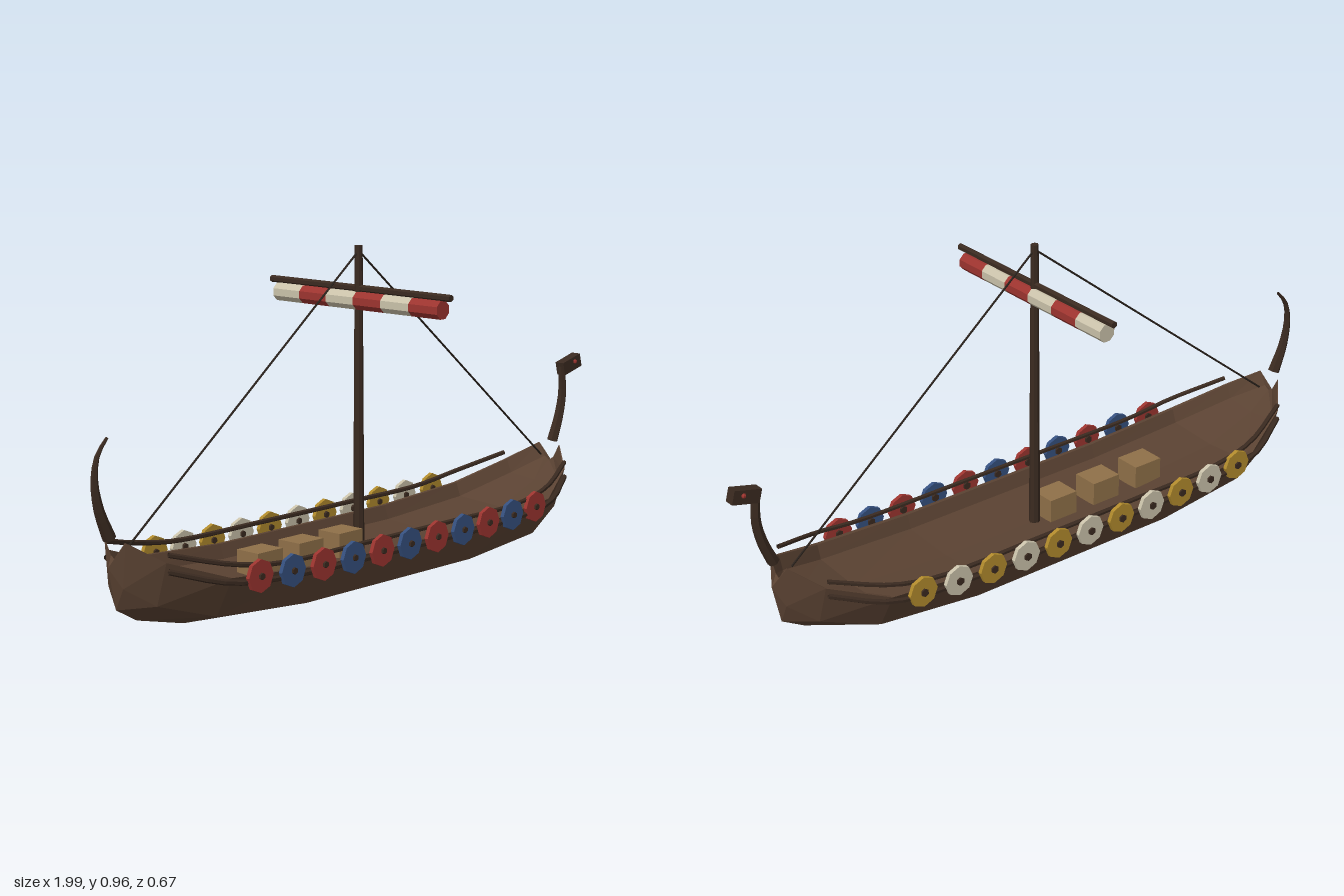
import * as THREE from 'three';

const C = {
  hull: 0x5a4232, dark: 0x3a2a20, red: 0x9c342f, blue: 0x35507f,
  gold: 0xb08a2c, cream: 0xcac2aa, crate: 0x8f7048, rope: 0x2a221c,
};
const mats = {};
const mat = (name) => (mats[name] ??= new THREE.MeshStandardMaterial({
  color: C[name], flatShading: true, side: THREE.DoubleSide,
}));
const HULL_X = -0.03; // hull midpoint along x

function add(parent, name, geometry, color, x = 0, y = 0, z = 0) {
  const mesh = new THREE.Mesh(geometry, mat(color));
  mesh.name = name;
  mesh.position.set(x, y, z);
  parent.add(mesh);
  return mesh;
}

// Closed hull lofted through cross-sections, deck included
function hullGeometry() {
  // [x, keelY, chineZ, chineY, gunwaleZ, gunwaleY, floor width ratio]
  const half = [
    [0.34, 0, 0.145, 0.04, 0.195, 0.15, 0.87],
    [0.655, 0.02, 0.125, 0.06, 0.183, 0.172, 0.86],
    [0.82, 0.06, 0.078, 0.11, 0.115, 0.23, 0.8],
    [0.89, 0.1, 0.028, 0.16, 0.04, 0.282, 0.4],
  ];
  const ring = ([x, ky, cz, cy, gz, gy, f]) => {
    const side = [[cy, cz], [gy, gz], [gy, gz * 0.94], [gy - 0.04, gz * f]];
    return [[ky, 0], ...side, [gy - 0.05, 0], ...side.map(([y, z]) => [y, -z]).reverse()]
      .map(([y, z]) => [x + HULL_X, y, z]);
  };
  const apex = (x) => Array(10).fill([x + HULL_X, 0.215, 0]);
  const rings = [
    apex(-0.915),
    ...[...half].reverse().map(([x, ...rest]) => ring([-x, ...rest])),
    ...half.map(ring),
    apex(0.915),
  ];
  const pos = [];
  for (let i = 0; i < rings.length - 1; i++) {
    for (let j = 0; j < 10; j++) {
      const k = (j + 1) % 10;
      const [a, b, c, d] = [rings[i][j], rings[i + 1][j], rings[i + 1][k], rings[i][k]];
      if (b !== c) pos.push(...a, ...b, ...c);
      if (a !== d) pos.push(...a, ...c, ...d);
    }
  }
  const g = new THREE.BufferGeometry();
  g.setAttribute('position', new THREE.Float32BufferAttribute(pos, 3));
  g.computeVertexNormals();
  return g;
}

// Tube along points whose radius runs from r0 to r1
function taperedTube(points, r0, r1, segments = 10, sides = 6) {
  const curve = new THREE.CatmullRomCurve3(points.map((p) => new THREE.Vector3(...p)));
  const g = new THREE.TubeGeometry(curve, segments, 1, sides);
  const p = g.attributes.position;
  const v = new THREE.Vector3();
  for (let i = 0; i < p.count; i++) {
    const t = Math.floor(i / (sides + 1)) / segments;
    const c = curve.getPointAt(t);
    v.fromBufferAttribute(p, i).sub(c).multiplyScalar(r0 + (r1 - r0) * t).add(c);
    p.setXYZ(i, v.x, v.y, v.z);
  }
  g.computeVertexNormals();
  return g;
}

function shield(color) {
  const group = new THREE.Group();
  group.name = 'shield';
  const disc = new THREE.CylinderGeometry(0.045, 0.045, 0.012, 8).rotateX(Math.PI / 2);
  const boss = new THREE.CylinderGeometry(0.009, 0.012, 0.024, 6).rotateX(Math.PI / 2);
  add(group, 'shieldBoard', disc, color);
  add(group, 'shieldBoss', boss, 'dark');
  return group;
}

export function createModel() {
  const ship = new THREE.Group();
  ship.name = 'longship';
  add(ship, 'hull', hullGeometry(), 'hull');

  // Rails and shields on both sides
  for (const s of [1, -1]) {
    const rail = (name, pts, r) => {
      const full = [...pts.map(([x, y, z]) => [-x, y, z]).reverse(), ...pts]
        .map(([x, y, z]) => [x + HULL_X, y, z * s]);
      add(ship, name, taperedTube(full, r, r, 32), 'dark');
    };
    rail('upperRail', [[0.17, 0.182, 0.194], [0.5, 0.185, 0.192], [0.65, 0.207, 0.178], [0.815, 0.25, 0.117]], 0.007);
    rail('lowerRail', [[0.17, 0.138, 0.196], [0.34, 0.139, 0.196], [0.655, 0.16, 0.184], [0.815, 0.206, 0.118]], 0.008);

    const colors = s > 0 ? ['red', 'blue'] : ['gold', 'cream'];
    for (let i = 0; i < 11; i++) {
      const u = Math.abs(i - 5) / 5;
      const sh = shield(colors[i % 2]);
      sh.position.set(-0.602 + i * 0.114, 0.156 + 0.01 * u ** 3, s * (0.214 - 0.014 * u ** 3));
      ship.add(sh);
    }
  }

  // Mast, yard and furled striped sail
  add(ship, 'mast', new THREE.CylinderGeometry(0.011, 0.016, 0.86, 8), 'dark', -0.005, 0.53, 0);
  add(ship, 'yard', new THREE.CylinderGeometry(0.01, 0.01, 0.67, 6).rotateX(Math.PI / 2), 'dark', -0.005, 0.841, 0);
  for (let i = 0; i < 6; i++) {
    const roll = new THREE.CylinderGeometry(0.027, 0.027, 0.102, 8).rotateY(Math.PI / 8).rotateX(Math.PI / 2);
    add(ship, 'furledSail', roll, i % 2 ? 'cream' : 'red', -0.005, 0.807, 0.255 - i * 0.102);
  }

  // Stays from the masthead to both ends
  for (const x of [-0.88, 0.82]) {
    const stay = new THREE.LineCurve3(new THREE.Vector3(-0.005, 0.945, 0), new THREE.Vector3(x, 0.255, 0));
    add(ship, 'stay', new THREE.TubeGeometry(stay, 1, 0.003, 5), 'rope');
  }

  // Cargo on the deck
  for (const x of [-0.4, -0.24, -0.08]) {
    add(ship, 'crate', new THREE.BoxGeometry(0.095, 0.07, 0.08), 'crate', x, 0.136, 0);
  }

  // Curled stern post
  add(ship, 'sternPost', taperedTube([
    [-0.938, 0.29, 0], [-0.972, 0.37, 0], [-0.985, 0.45, 0], [-0.973, 0.51, 0], [-0.94, 0.55, 0],
  ], 0.018, 0.004), 'dark');

  // Bow post with carved head
  add(ship, 'bowPost', taperedTube([
    [0.875, 0.29, 0], [0.905, 0.36, 0], [0.921, 0.43, 0], [0.917, 0.515, 0],
  ], 0.017, 0.011), 'dark');
  const head = add(ship, 'bowHead', new THREE.BoxGeometry(0.085, 0.04, 0.03), 'dark', 0.952, 0.518, 0);
  head.rotation.z = 0.25;
  for (const s of [1, -1]) {
    add(head, 'eye', new THREE.SphereGeometry(0.007, 6, 5), 'red', 0.012, 0.005, s * 0.016);
  }
  return ship;
}
